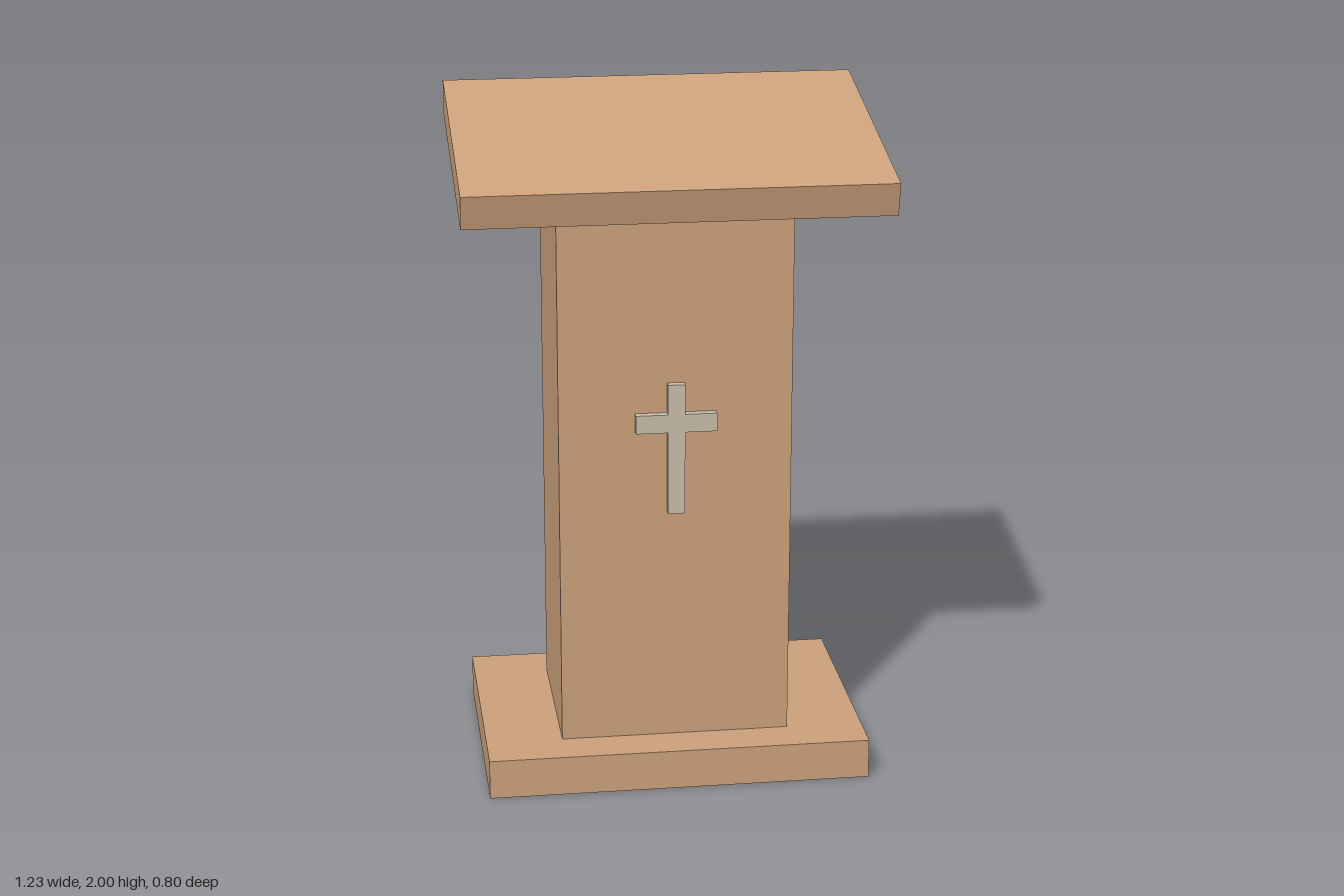
import * as THREE from 'three';

export function createModel() {
  const model = new THREE.Group();
  model.name = 'lectern';

  const wood = new THREE.MeshStandardMaterial({ color: 0xcea27d });
  wood.name = 'wood';
  const stone = new THREE.MeshStandardMaterial({ color: 0xcabfab });
  stone.name = 'paleStone';

  const add = (name, geometry, material, y, z = 0) => {
    const mesh = new THREE.Mesh(geometry, material);
    mesh.name = name;
    mesh.position.set(0, y, z);
    model.add(mesh);
    return mesh;
  };

  // Base slab and column
  add('base', new THREE.BoxGeometry(1.14, 0.12, 0.78), wood, 0.06);
  add('column', new THREE.BoxGeometry(0.684, 1.695, 0.524), wood, 0.9675);

  // Reading desk, tilted down towards the front
  const desk = add('desk', new THREE.BoxGeometry(1.234, 0.1, 0.8), wood, 1.868);
  desk.rotation.x = THREE.MathUtils.degToRad(12);

  // Cross on the front of the column: half outline, mirrored
  const half = [[0.025, 0.835], [0.025, 1.085], [0.119, 1.085], [0.119, 1.14], [0.025, 1.14], [0.025, 1.23]];
  const outline = [...half, ...half.map(([x, y]) => [-x, y]).reverse()];
  const shape = new THREE.Shape(outline.map(([x, y]) => new THREE.Vector2(x, y)));
  add('cross', new THREE.ExtrudeGeometry(shape, { depth: 0.024, bevelEnabled: false }), stone, 0, 0.262);

  return model;
}
